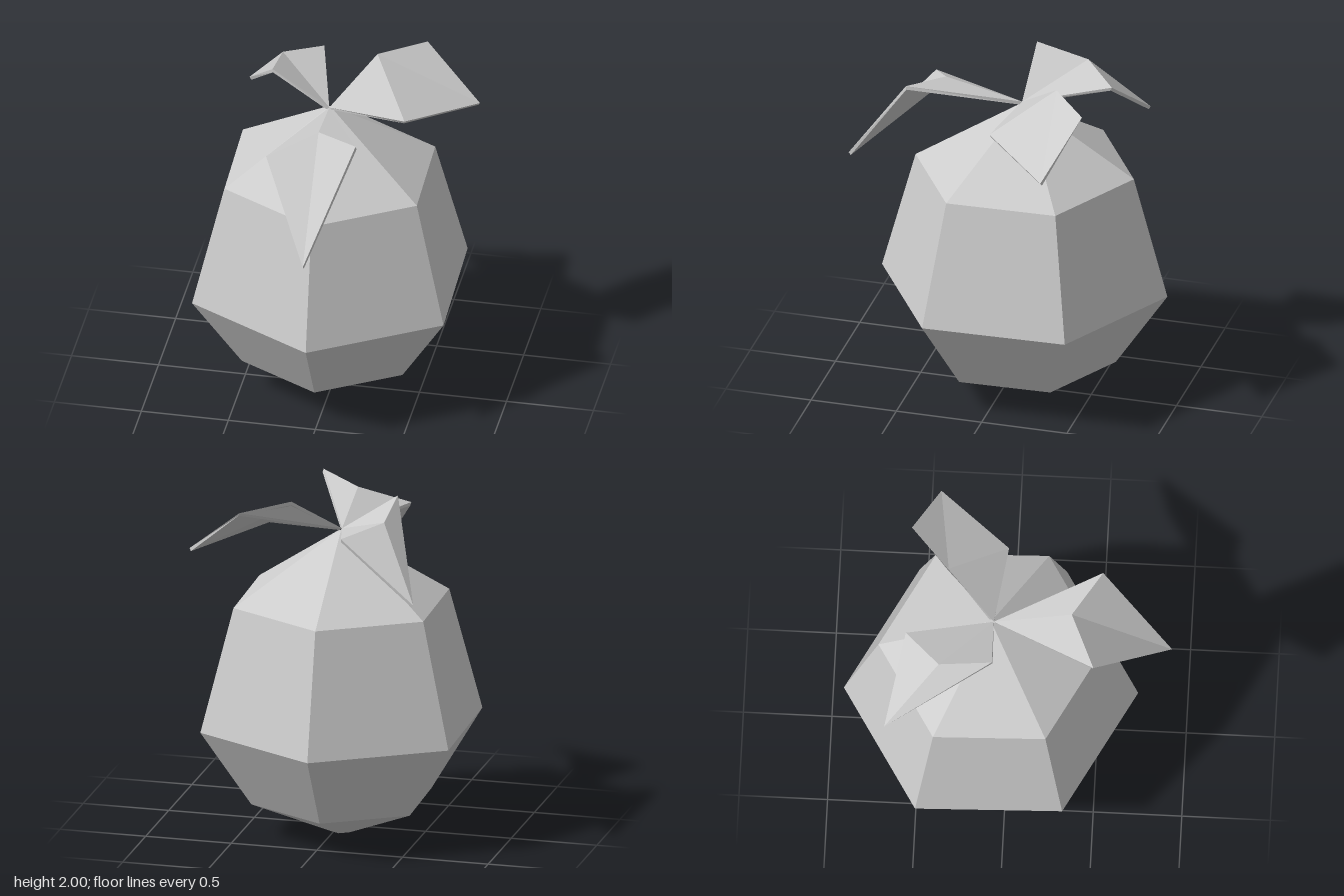
import * as THREE from 'three';

const skin = new THREE.MeshStandardMaterial({ color: 0xcccccc, flatShading: true });
skin.name = 'pale grey';

const CENTRE = [-0.035, -0.1]; // x, z of the fruit's axis
const STEM = [-0.035, 1.78, -0.085]; // where all leaves meet

// Thin folded leaf: stem, two side corners, raised middle and pointed tip
function makeLeaf(name, right, middle, left, tip, thickness = 0.02) {
  const top = [STEM, right, middle, left, tip].map((p) => new THREE.Vector3(...p));
  const faces = [[0, 1, 2], [0, 2, 3], [2, 1, 4], [2, 4, 3]];

  // Offset the underside along each corner's averaged normal
  const normals = top.map(() => new THREE.Vector3());
  for (const [a, b, c] of faces) {
    const n = new THREE.Vector3();
    new THREE.Triangle(top[a], top[b], top[c]).getNormal(n);
    for (const i of [a, b, c]) normals[i].add(n);
  }
  const under = top.map((p, i) => p.clone().addScaledVector(normals[i].normalize(), -thickness));

  const index = [];
  for (const [a, b, c] of faces) index.push(a, b, c, a + 5, c + 5, b + 5);
  // Rim around the outline
  const rim = [0, 1, 4, 3];
  rim.forEach((a, k) => {
    const b = rim[(k + 1) % 4];
    index.push(a, a + 5, b + 5, a, b + 5, b);
  });

  const indexed = new THREE.BufferGeometry().setFromPoints([...top, ...under]);
  indexed.setIndex(index);
  const geometry = indexed.toNonIndexed();
  geometry.computeVertexNormals();
  const mesh = new THREE.Mesh(geometry, skin);
  mesh.name = name;
  return mesh;
}

export function createModel() {
  const group = new THREE.Group();
  group.name = 'leafyFruit';

  // Six-sided faceted body
  const profile = [[0, 0], [0.063, 0], [0.53, 0.2], [0.83, 0.65], [0.635, 1.37], [0.02, 1.77], [0, 1.77]]
    .map(([r, y]) => new THREE.Vector2(r, y));
  const body = new THREE.Mesh(new THREE.LatheGeometry(profile, 6, 0.03), skin);
  body.name = 'fruitBody';
  body.position.set(CENTRE[0], 0, CENTRE[1]);
  group.add(body);

  // Three drooping leaves
  group.add(
    makeLeaf('frontLeaf', [-0.285, 1.78, 0.49], [-0.01, 1.89, 0.355], [0.235, 1.925, 0.52], [0.01, 1.34, 0.92]),
    makeLeaf('leftLeaf', [0.41, 1.78, -0.02], [0.19, 2.0, -0.35], [0.435, 1.978, -0.57], [0.765, 1.7, -0.42]),
    makeLeaf('backRightLeaf', [-0.16, 1.875, -0.575], [-0.36, 1.93, -0.38], [-0.36, 2.0, -0.08], [-0.61, 1.55, -0.675]),
  );
  return group;
}
